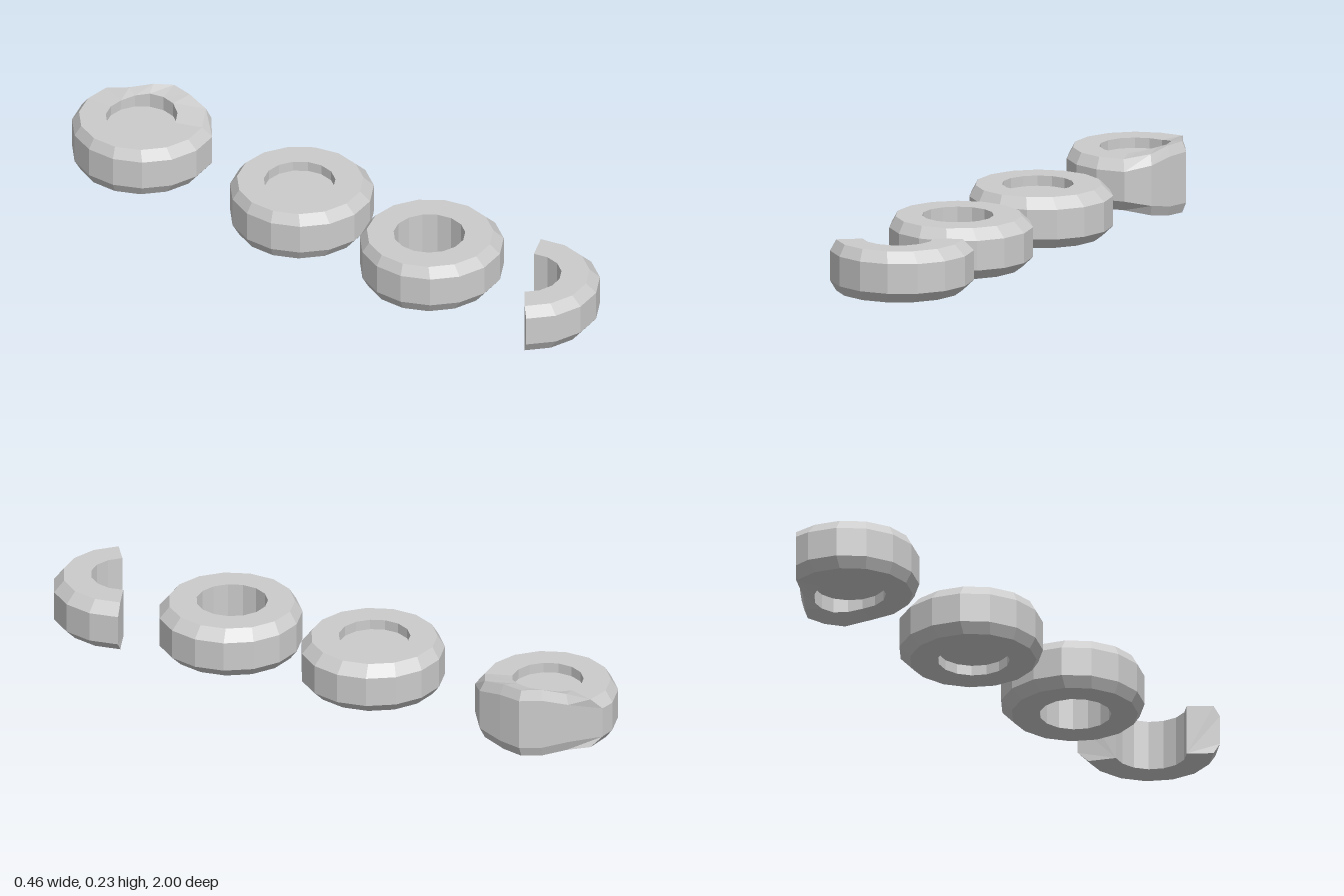
import * as THREE from 'three';

const SIDES = 15;
const STEP = (Math.PI * 2) / SIDES;
const MID = 0.1135; // height of the wheel axis mid-plane
const material = new THREE.MeshStandardMaterial({ color: 0xcccccc, flatShading: true });

// Cross-section: radius, x shift, height above mid-plane
const HOLE = [0.115, -0.014, 0.0835];
const SHOULDER = [0.203, -0.011, 0.0835];
const TREAD = [0.231, -0.002, 0.0485];

// Crushed tread positions [x, z] and sidewall bulge, by side index
const DENT = {
  [-3]: [0.028, -0.224, 0.05],
  [-2]: [0.088, -0.132, 0.5],
  [-1]: [0.134, -0.062, 1],
  0: [0.172, 0, 1],
  1: [0.158, 0.078, 0.95],
  2: [0.138, 0.164, 0.5],
};

// Closed cross-section at one side index, from the lower hole edge around to the upper one
function section(index, dented) {
  const a = index * STEP;
  const place = ([r, shift, y]) => [shift + r * Math.cos(a), y, r * Math.sin(a)];
  const hole = place(HOLE);
  const shoulder = place(SHOULDER);
  const tread = place(TREAD);
  const signed = index > SIDES / 2 ? index - SIDES : index;
  const dent = dented && DENT[signed];
  if (dent) {
    const [x, z, bulge] = dent;
    tread[0] = x;
    tread[2] = z;
    tread[1] += 0.035 * bulge;
    const shrink = 0.92;
    if (Math.hypot(x, z) * shrink < SHOULDER[0]) {
      shoulder[0] = x * shrink;
      shoulder[2] = z * shrink;
    }
    shoulder[1] += 0.033 * bulge;
    hole[1] += 0.016 * bulge;
  }
  const upper = [tread, shoulder, hole];
  const lower = [hole, shoulder, tread].map(([x, y, z]) => [x, -y, z]);
  return [...lower, ...upper].map(([x, y, z]) => new THREE.Vector3(x, y + MID, z));
}

// Sweep the cross-section from side index `from` over `count` sides
function tyreGeometry(from, count, dented) {
  const pts = [];
  const sections = [];
  for (let i = 0; i <= count; i++) sections.push(section((from + i + SIDES) % SIDES, dented));
  for (let i = 0; i < count; i++) {
    const s = sections[i];
    const t = sections[i + 1];
    for (let k = 0; k < s.length; k++) {
      const n = (k + 1) % s.length;
      pts.push(s[k], s[n], t[k], s[n], t[n], t[k]);
    }
  }
  // Flat cut faces on an incomplete ring
  if (count < SIDES) {
    const first = sections[0];
    const last = sections[count];
    for (let k = 1; k < first.length - 1; k++) {
      pts.push(first[0], first[k + 1], first[k], last[0], last[k], last[k + 1]);
    }
  }
  const geometry = new THREE.BufferGeometry().setFromPoints(pts);
  geometry.computeVertexNormals();
  return geometry;
}

function addWheel(parent, name, z, { from = 0, count = SIDES, dented = false, hub = false } = {}) {
  const wheel = new THREE.Group();
  wheel.name = name;
  wheel.position.z = z;
  const tyre = new THREE.Mesh(tyreGeometry(from, count, dented), material);
  tyre.name = 'tyre';
  wheel.add(tyre);
  // Recessed disc filling the hole
  if (hub) {
    const disc = new THREE.Mesh(
      new THREE.CylinderGeometry(HOLE[0], HOLE[0], 0.1, SIDES, 1, false, Math.PI / 2), material);
    disc.name = 'hubDisc';
    disc.position.set(HOLE[1], MID, 0);
    wheel.add(disc);
  }
  parent.add(wheel);
}

export function createModel() {
  const model = new THREE.Group();
  model.name = 'tyreSet';
  addWheel(model, 'brokenTyre', 0.77, { from: -1, count: 7 });
  addWheel(model, 'openTyre', 0.384);
  addWheel(model, 'wheel', -0.137, { hub: true });
  addWheel(model, 'dentedWheel', -0.771, { hub: true, dented: true });
  return model;
}
